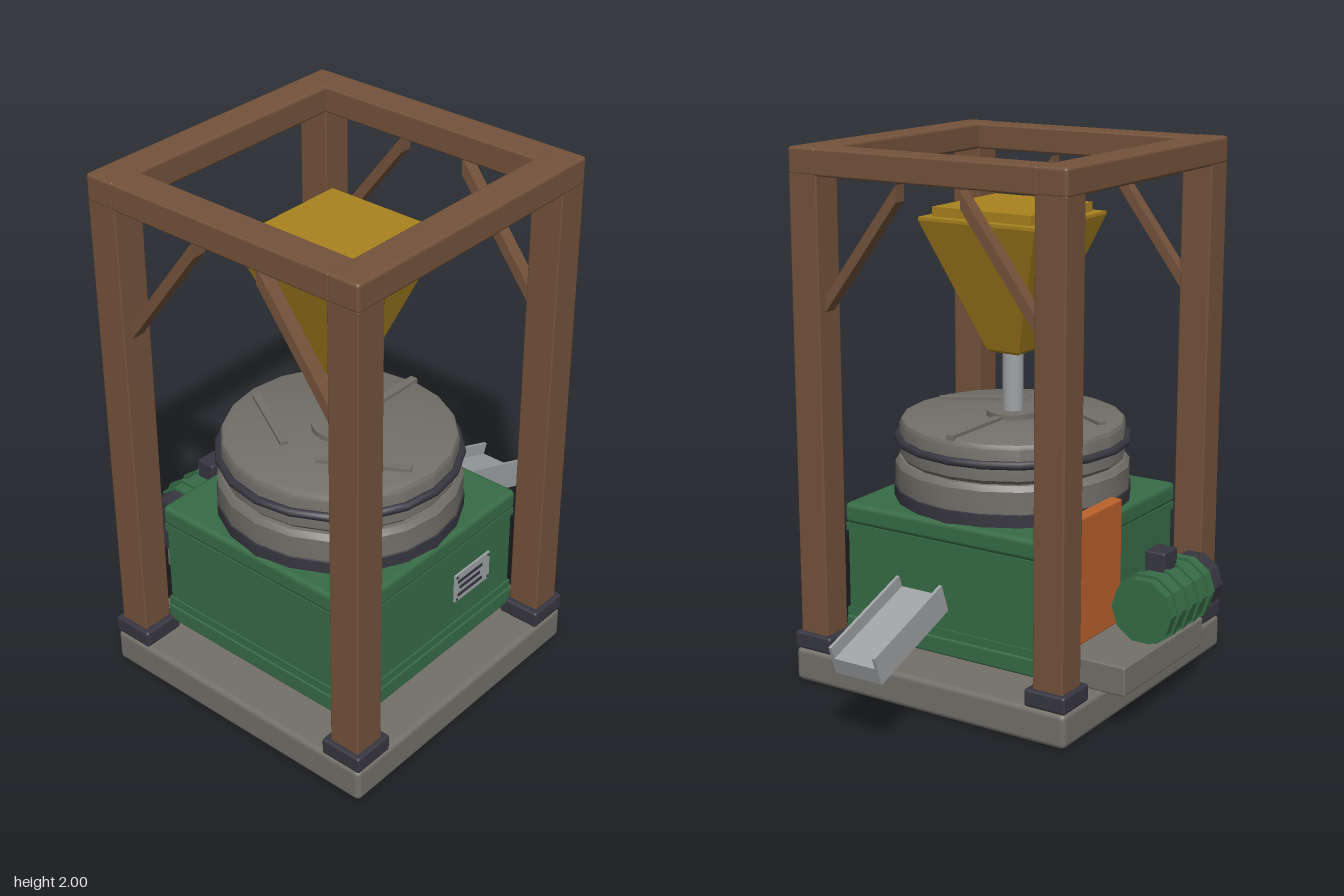
import * as THREE from 'three';
import { toCreasedNormals } from 'three/addons/utils/BufferGeometryUtils.js';
import { RoundedBoxGeometry } from 'three/addons/geometries/RoundedBoxGeometry.js';

const paint = (name, color) => {
  const m = new THREE.MeshStandardMaterial({ color });
  m.name = name;
  return m;
};

export function createModel() {
  const root = new THREE.Group();
  root.name = 'millMachine';
  const wood = paint('wood', 0x73523a);
  const stone = paint('stone', 0x737069);
  const green = paint('greenPaint', 0x376b46);
  const dark = paint('darkIron', 0x37363f);
  const yellow = paint('yellowHopper', 0xa8821f);
  const steel = paint('steel', 0x9fa2a5);
  const orange = paint('orangeGuard', 0xbb622b);

  // Centre of the frame and drum
  const CX = -0.21, CZ = 0.097;

  const add = (name, geo, mat, x = 0, y = 0, z = 0, parent = root) => {
    const mesh = new THREE.Mesh(geo, mat);
    mesh.name = name;
    mesh.position.set(x, y, z);
    parent.add(mesh);
    return mesh;
  };
  // Box given by its limits, with optionally rounded edges
  const box = (name, mat, [x0, x1], [y0, y1], [z0, z1], r = 0, parent = root) => {
    const w = x1 - x0, h = y1 - y0, d = z1 - z0;
    const geo = r ? new RoundedBoxGeometry(w, h, d, 2, r) : new THREE.BoxGeometry(w, h, d);
    return add(name, geo, mat, (x0 + x1) / 2, (y0 + y1) / 2, (z0 + z1) / 2, parent);
  };
  // Square slab centred on the machine
  const slab = (name, mat, half, y0, y1, r) =>
    box(name, mat, [CX - half, CX + half], [y0, y1], [CZ - half, CZ + half], r);
  const lathe = (name, mat, pts, sides) => add(name, toCreasedNormals(
    new THREE.LatheGeometry(pts.map(p => new THREE.Vector2(...p)), sides), 0.5), mat, CX, 0, CZ);

  // Base slab
  slab('baseSlab', stone, 0.589, 0, 0.13, 0.02);

  // Posts, feet and diagonal braces
  const braceShape = new THREE.Shape([[0.46, 1.4], [0.46, 1.46], [0.133, 1.89], [0.133, 1.83]]
    .map(p => new THREE.Vector2(...p)));
  const braceGeo = new THREE.ExtrudeGeometry(braceShape, { depth: 0.05, bevelEnabled: false });
  braceGeo.translate(0, 0, -0.025);
  for (const sx of [-1, 1]) {
    for (const sz of [-1, 1]) {
      const x = CX + sx * 0.51, z = CZ + sz * 0.51;
      box('post', wood, [x - 0.061, x + 0.061], [0.13, 1.91], [z - 0.061, z + 0.061], 0.006);
      const fx = CX + sx * 0.507, fz = CZ + sz * 0.507;
      box('postFoot', dark, [fx - 0.083, fx + 0.083], [0.13, 0.195], [fz - 0.083, fz + 0.083], 0.01);
      const brace = add('brace', braceGeo, wood, x, 0, CZ);
      brace.rotation.y = -sz * Math.PI / 2;
    }
  }
  // Top frame
  for (const s of [-1, 1]) {
    const z = CZ + s * 0.511, x = CX + s * 0.511;
    box('crossBeam', wood, [CX - 0.572, CX + 0.572], [1.9, 2], [z - 0.062, z + 0.062], 0.012);
    box('sideBeam', wood, [x - 0.061, x + 0.061], [1.902, 1.998], [CZ - 0.46, CZ + 0.46], 0.008);
  }

  // Green housing with stepped trim
  slab('housing', green, 0.44, 0.175, 0.67, 0);
  slab('housingLid', green, 0.452, 0.605, 0.685, 0.02);
  slab('lidStrip', green, 0.447, 0.578, 0.607, 0);
  slab('housingPlinth', green, 0.452, 0.175, 0.245, 0.01);
  slab('plinthStrip', green, 0.447, 0.24, 0.275, 0);

  // Name plate with engraved bars and rivets
  const fz = CZ + 0.44;
  box('namePlate', steel, [-0.1, 0.1], [0.37, 0.487], [fz, fz + 0.008]);
  [[0.455, -0.085, 0.055], [0.427, -0.075, 0.04], [0.397, -0.085, 0.055]].forEach(([y, a, b]) =>
    box('plateBar', dark, [a, b], [y - 0.006, y + 0.006], [fz + 0.007, fz + 0.011]));
  for (const x of [-0.09, 0.09]) for (const y of [0.38, 0.477]) {
    const rivet = add('plateRivet', new THREE.CylinderGeometry(0.005, 0.005, 0.004, 8), dark, x, y, fz + 0.009);
    rivet.rotation.x = Math.PI / 2;
  }

  // Mill drum
  lathe('drumBaseRing', dark, [[0, 0.68], [0.445, 0.68], [0.445, 0.73], [0.435, 0.735], [0, 0.735]], 20);
  lathe('lowerDrum', stone, [[0.44, 0.73], [0.44, 0.815], [0.425, 0.835], [0, 0.835]], 20);
  lathe('upperDrum', stone, [[0, 0.832], [0.405, 0.832], [0.422, 0.85], [0.422, 0.965],
    [0.415, 0.98], [0.395, 0.988], [0, 0.988]], 20);
  const band = add('drumBand', new THREE.TorusGeometry(0.43, 0.016, 8, 20), dark, CX, 0.91, CZ);
  band.rotation.x = Math.PI / 2;
  lathe('drumFlange', stone, [[0, 0.98], [0.1, 0.98], [0.1, 1.008], [0, 1.008]], 16);
  for (let i = 0; i < 3; i++) {
    const a = i * Math.PI * 2 / 3;
    const rib = add('lidRib', new THREE.BoxGeometry(0.33, 0.02, 0.03), stone,
      CX + 0.25 * Math.cos(a), 0.99, CZ + 0.25 * Math.sin(a));
    rib.rotation.y = a;
  }

  // Feed pipe and hopper
  add('feedPipe', new THREE.CylinderGeometry(0.04, 0.04, 0.25, 16), steel, CX, 1.12, CZ);
  const frustum = (name, y0, h0, y1, h1) => {
    const geo = new THREE.CylinderGeometry(h1 * Math.SQRT2, h0 * Math.SQRT2, y1 - y0, 4).toNonIndexed();
    geo.rotateY(Math.PI / 4);
    geo.computeVertexNormals();
    add(name, geo, yellow, CX, (y0 + y1) / 2, CZ);
  };
  frustum('hopperTip', 1.23, 0.06, 1.24, 0.07);
  frustum('hopperBody', 1.24, 0.07, 1.725, 0.247);
  frustum('hopperRim', 1.725, 0.247, 1.737, 0.247);
  frustum('hopperLid', 1.737, 0.21, 1.772, 0.21);

  // Discharge chute
  const chute = new THREE.Group();
  chute.name = 'dischargeChute';
  chute.position.set(0.578, 0.391, CZ);
  chute.rotation.z = -0.345;
  root.add(chute);
  box('chuteFloor', steel, [-0.21, 0.21], [-0.055, 0.01], [-0.09, 0.09], 0, chute);
  for (const s of [-1, 1])
    add('chuteWall', new THREE.BoxGeometry(0.42, 0.112, 0.012), steel, 0, 0, s * 0.092, chute);

  // Motor on its mount
  box('motorMount', stone, [-0.42, 0.17], [0.152, 0.262], [-0.61, -0.36], 0.008);
  const MY = 0.39, MZ = -0.553;
  const drum = (name, mat, x0, x1, r) => {
    const geo = new THREE.CylinderGeometry(r, r, x1 - x0, 10);
    geo.rotateY(Math.PI / 2);
    geo.rotateZ(Math.PI / 2);
    geo.rotateX(Math.PI / 2);
    add(name, toCreasedNormals(geo, 0.5), mat, (x0 + x1) / 2, MY, MZ);
  };
  drum('motorBody', green, -0.38, -0.045, 0.122);
  for (let i = 0; i < 4; i++) drum('motorFin', green, -0.338 + i * 0.079, -0.32 + i * 0.079, 0.133);
  drum('motorFanCover', dark, -0.462, -0.378, 0.112);
  box('junctionBox', dark, [-0.26, -0.16], [0.49, 0.578], [-0.58, -0.5], 0.008);

  // Belt guard
  box('beltGuard', orange, [-0.15, 0.24], [0.29, 0.76], [-0.41, -0.36], 0.008);

  return root;
}
